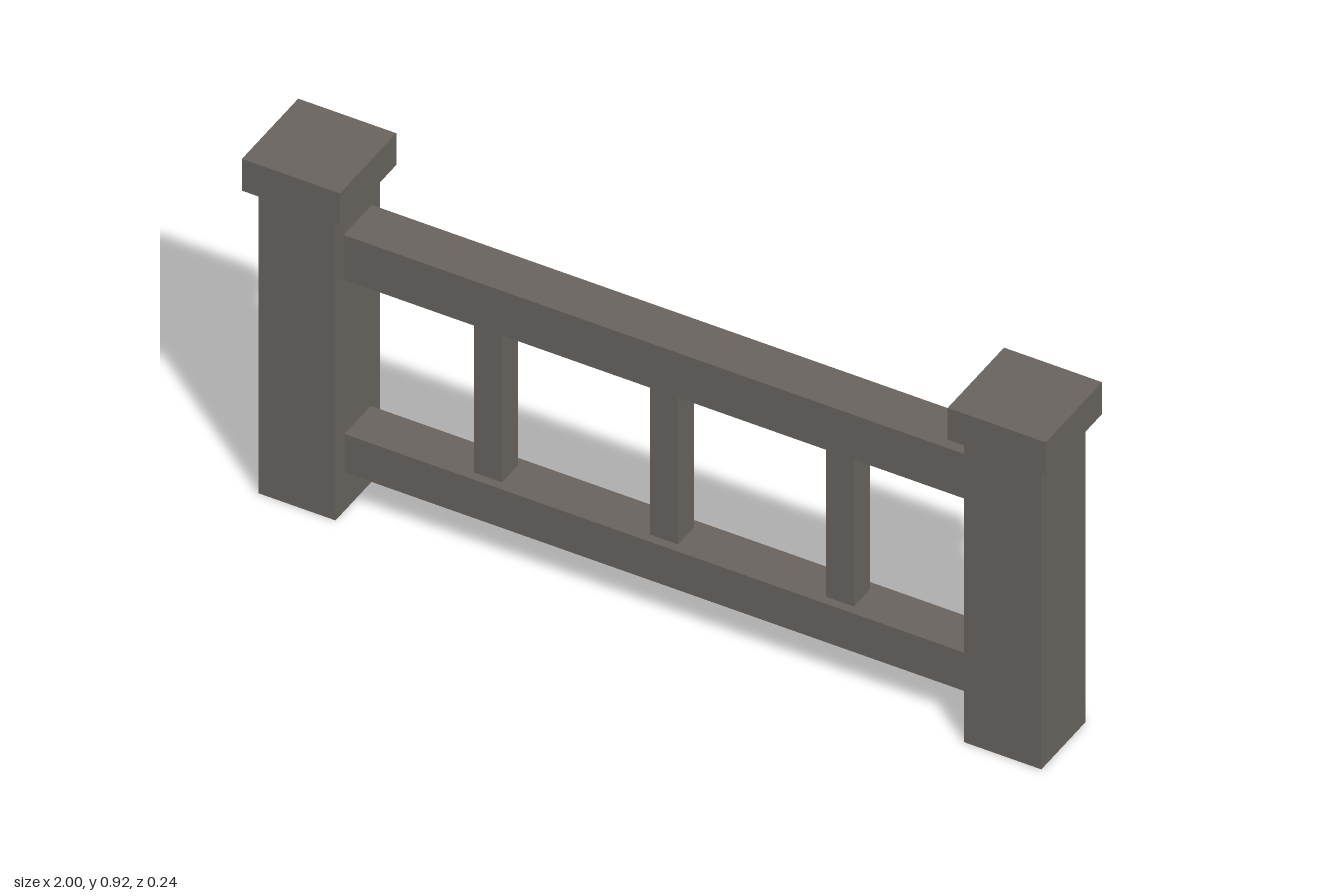
import * as THREE from 'three';

export function createModel() {
  const model = new THREE.Group();
  model.name = 'railing';
  const stone = new THREE.MeshStandardMaterial({ color: 0x68635e });
  stone.name = 'dark stone';

  // Box centred on z = 0, spanning y0 to y1
  function block(name, x, y0, y1, width, depth) {
    const mesh = new THREE.Mesh(new THREE.BoxGeometry(width, y1 - y0, depth), stone);
    mesh.name = name;
    mesh.position.set(x, (y0 + y1) / 2, 0);
    model.add(mesh);
  }

  // End posts with caps
  for (const [side, s] of [['left', 1], ['right', -1]]) {
    block(side + 'Post', s * 0.878, 0, 0.835, 0.192, 0.192);
    block(side + 'PostCap', s * 0.878, 0.835, 0.922, 0.244, 0.244);
  }

  // Rails between the posts
  block('topRail', 0, 0.635, 0.757, 1.564, 0.122);
  block('bottomRail', 0, 0.105, 0.21, 1.564, 0.114);

  // Balusters
  [-0.438, 0, 0.438].forEach((x, i) => block('baluster' + (i + 1), x, 0.21, 0.635, 0.07, 0.07));

  return model;
}
